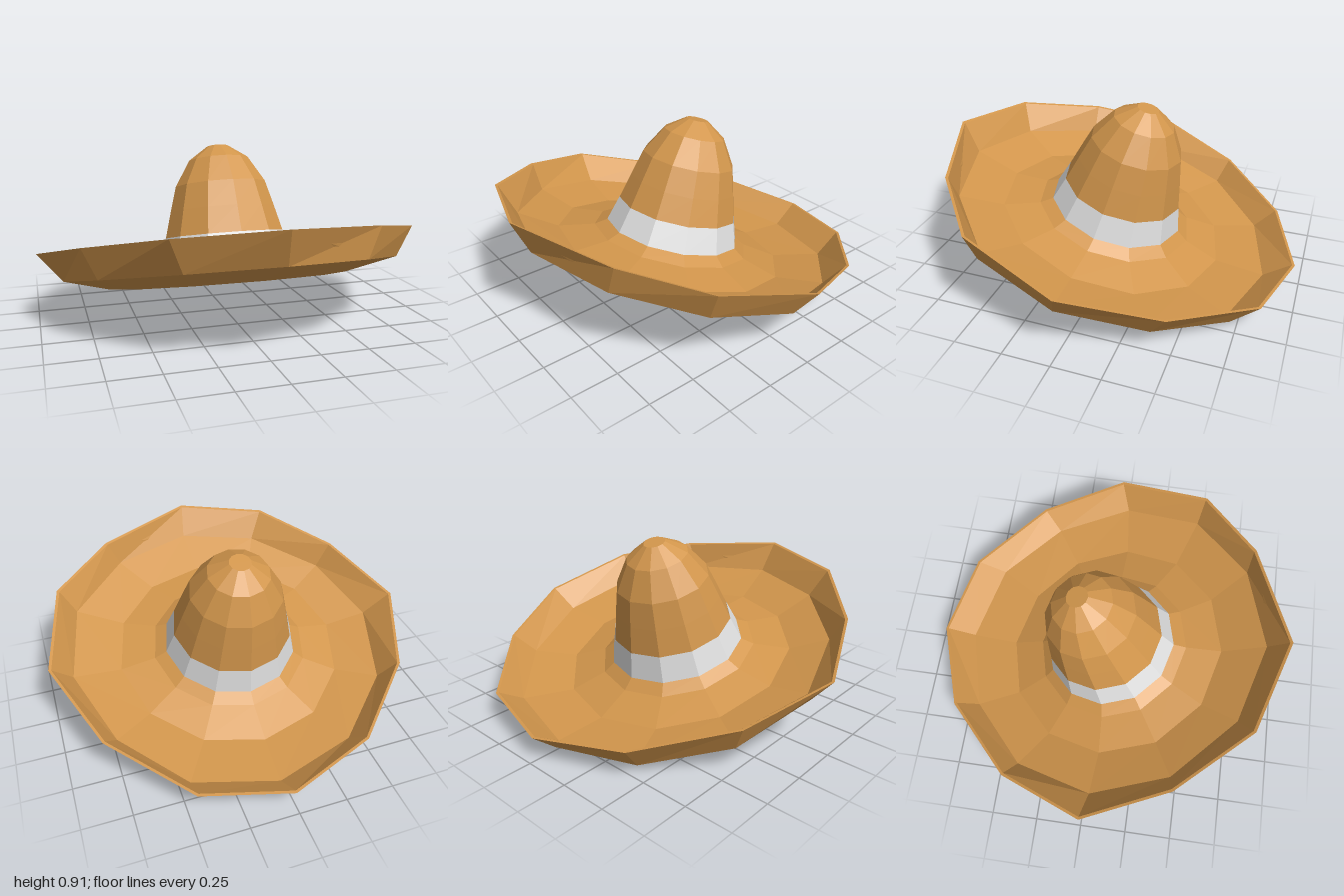
import * as THREE from 'three';

const N = 12;
const TILT = 0.274;

const straw = new THREE.MeshStandardMaterial({ color: 0xd2964c, flatShading: true, side: THREE.DoubleSide });
straw.name = 'straw tan';
const ribbon = new THREE.MeshStandardMaterial({ color: 0xe0e0e0, flatShading: true, side: THREE.DoubleSide });
ribbon.name = 'ribbon grey';

// Slightly uneven hand-shaped outlines, [x, z] from the front round to the left side
const RIM = [[0, 0.97], [0.53, 0.76], [0.87, 0.47], [1, -0.03], [0.82, -0.49], [0.46, -0.86],
  [0.01, -0.97], [-0.45, -0.81], [-0.82, -0.45], [-1, 0], [-0.81, 0.45], [-0.48, 0.82]];
const FLOOR = [[0.02, 0.87], [0.46, 0.74], [0.78, 0.44], [0.88, 0.02], [0.74, -0.39], [0.45, -0.7],
  [0.02, -0.81], [-0.41, -0.69], [-0.73, -0.39], [-0.85, 0.03], [-0.72, 0.44], [-0.4, 0.75]];

// Regular ring of the given radius and height
function ring(r, y) {
  return Array.from({ length: N }, (_, i) => {
    const t = (i / N) * Math.PI * 2;
    return [Math.sin(t) * r, y, Math.cos(t) * r];
  });
}

// Ring following one of the outlines, turned into the hat's own tilted plane
function outline(points, y, scale = 1) {
  const c = Math.cos(TILT), s = Math.sin(TILT);
  return points.map(([x, z]) => [x * scale, y, ((z + y * s) / c) * scale]);
}

// Skin a list of rings with flat quads
function loft(name, rings, material) {
  const pos = [];
  for (let j = 0; j < rings.length - 1; j++) {
    for (let i = 0; i < N; i++) {
      const k = (i + 1) % N;
      const a = rings[j][i], b = rings[j][k], c = rings[j + 1][k], d = rings[j + 1][i];
      pos.push(...a, ...b, ...c, ...a, ...c, ...d);
    }
  }
  const geo = new THREE.BufferGeometry();
  geo.setAttribute('position', new THREE.Float32BufferAttribute(pos, 3));
  geo.computeVertexNormals();
  const mesh = new THREE.Mesh(geo, material);
  mesh.name = name;
  return mesh;
}

export function createModel() {
  const model = new THREE.Group();
  model.name = 'wideBrimHat';
  const hat = new THREE.Group();
  hat.name = 'tiltedHat';
  hat.position.y = 0.4;
  hat.rotation.x = -TILT;
  model.add(hat);

  // Brim: underside outwards, up the lip, back in over the sagging floor
  hat.add(loft('brim', [
    ring(0.35, -0.12),
    ring(0.42, -0.17),
    ring(0.64, -0.212),
    outline(FLOOR, -0.152, 1.025),
    outline(RIM, 0),
    outline(RIM, -0.002, 0.985),
    outline(FLOOR, -0.13),
    ring(0.62, -0.18),
    ring(0.43, -0.14),
    ring(0.365, -0.1),
  ], straw));

  // Ribbon round the foot of the crown
  hat.add(loft('hatBand', [ring(0.367, -0.1), ring(0.326, 0.035)], ribbon));

  // Crown
  hat.add(loft('crown', [
    ring(0.325, 0.035), ring(0.288, 0.175), ring(0.25, 0.31),
    ring(0.165, 0.45), ring(0.058, 0.525), ring(0, 0.525),
  ], straw));

  // Hollow inside of the crown, open at the bottom
  hat.add(loft('crownLining', [
    ring(0, 0.51), ring(0.05, 0.51), ring(0.155, 0.437), ring(0.237, 0.3),
    ring(0.275, 0.17), ring(0.312, 0.03), ring(0.35, -0.12),
  ], straw));

  return model;
}
